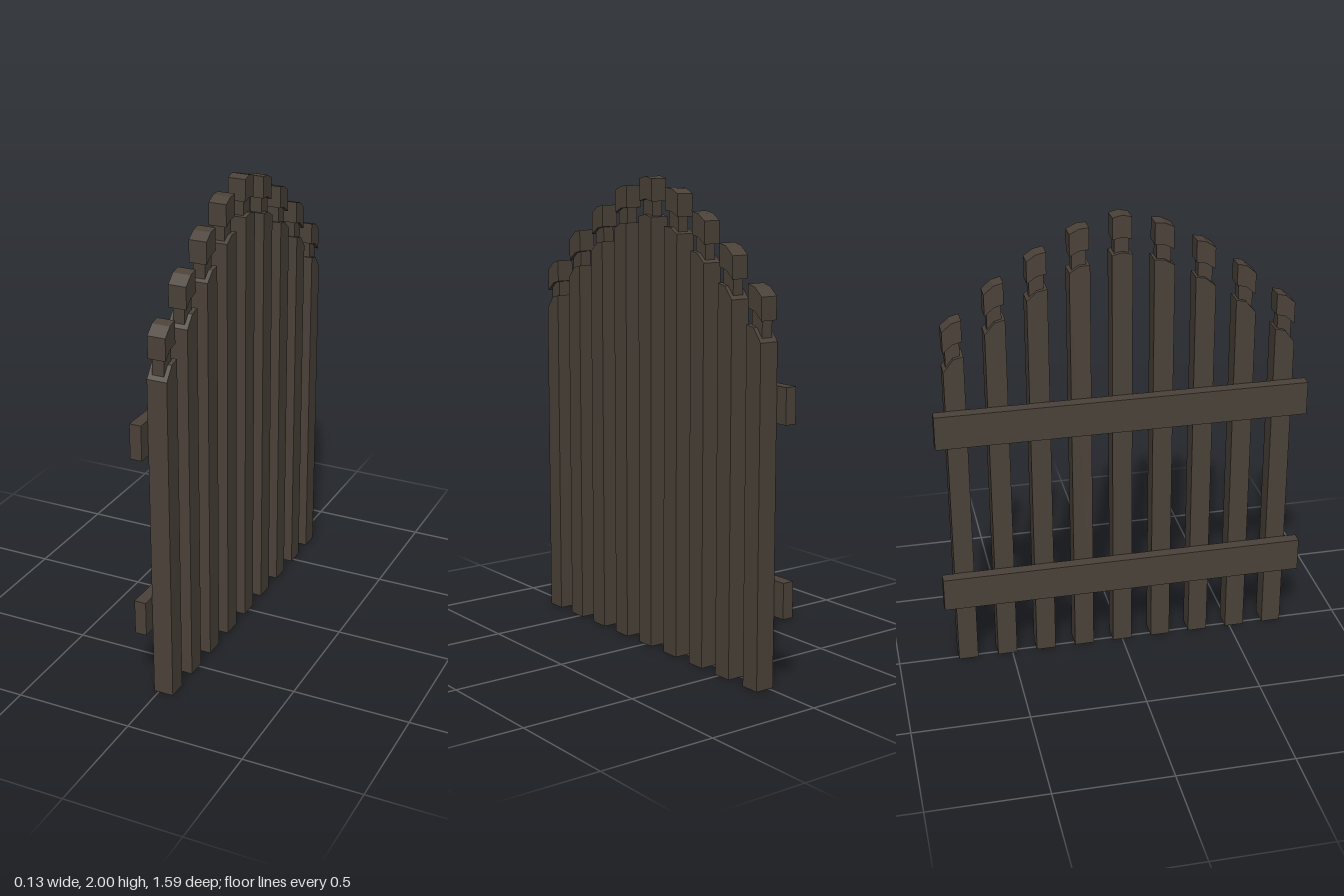
import * as THREE from 'three';

const wood = new THREE.MeshStandardMaterial({ color: 0x4b4239, flatShading: true });
const SPACING = 0.174;
const PICKET_X = 0.0225; // middle of the picket thickness

// Cap top heights from the middle picket outwards: [outer edge, middle, inner edge]
const TOPS = [
  [1.99, 2.0, 1.99],
  [1.935, 1.955, 1.958],
  [1.835, 1.862, 1.87],
  [1.71, 1.745, 1.755],
  [1.565, 1.6, 1.61],
];

// Upright block whose bottom and top follow three heights across its width.
// The heights run from low u to high u, where u = -z.
function block(name, width, depth, bottom, top) {
  const us = [-width / 2, 0, width / 2];
  const shape = new THREE.Shape([
    ...us.map((u, i) => new THREE.Vector2(u, bottom[i])),
    ...us.map((u, i) => new THREE.Vector2(u, top[i])).reverse(),
  ]);
  const geo = new THREE.ExtrudeGeometry(shape, { depth, bevelEnabled: false });
  geo.translate(0, 0, -depth / 2).rotateY(Math.PI / 2);
  const mesh = new THREE.Mesh(geo, wood);
  mesh.name = name;
  return mesh;
}

// Post with a narrow neck and a cap, cut to the curve of the arch
function picket(index) {
  const step = Math.abs(index);
  const outerDrop = 0.155 + 0.005 * step;
  const capTop = TOPS[step];
  const capBottom = capTop.map((y) => y - 0.092);
  const bodyTop = capTop.map((y, i) => y - (i === 0 ? outerDrop : 0.155));
  const order = (a) => (index > 0 ? [...a].reverse() : a);

  const group = new THREE.Group();
  group.name = 'picket';
  group.add(
    block('picketBody', 0.085, 0.085, [0, 0, 0], order(bodyTop)),
    block('picketNeck', 0.06, 0.05,
      order(bodyTop.map((y) => y - 0.02)), order(capBottom.map((y) => y + 0.02))),
    block('picketCap', 0.08, 0.076, order(capBottom), order(capTop)),
  );
  group.position.set(PICKET_X, 0, -index * SPACING);
  return group;
}

export function createModel() {
  const model = new THREE.Group();
  model.name = 'archedPicketFence';

  // Nine pickets forming the arch
  for (let i = -4; i <= 4; i++) model.add(picket(i));

  // Two rails across the back of the pickets
  for (const [name, y] of [['lowerRail', 0.37], ['upperRail', 1.145]]) {
    const rail = new THREE.Mesh(new THREE.BoxGeometry(0.05, 0.148, 1.586), wood);
    rail.name = name;
    rail.position.set(-0.045, y, 0);
    model.add(rail);
  }
  return model;
}
